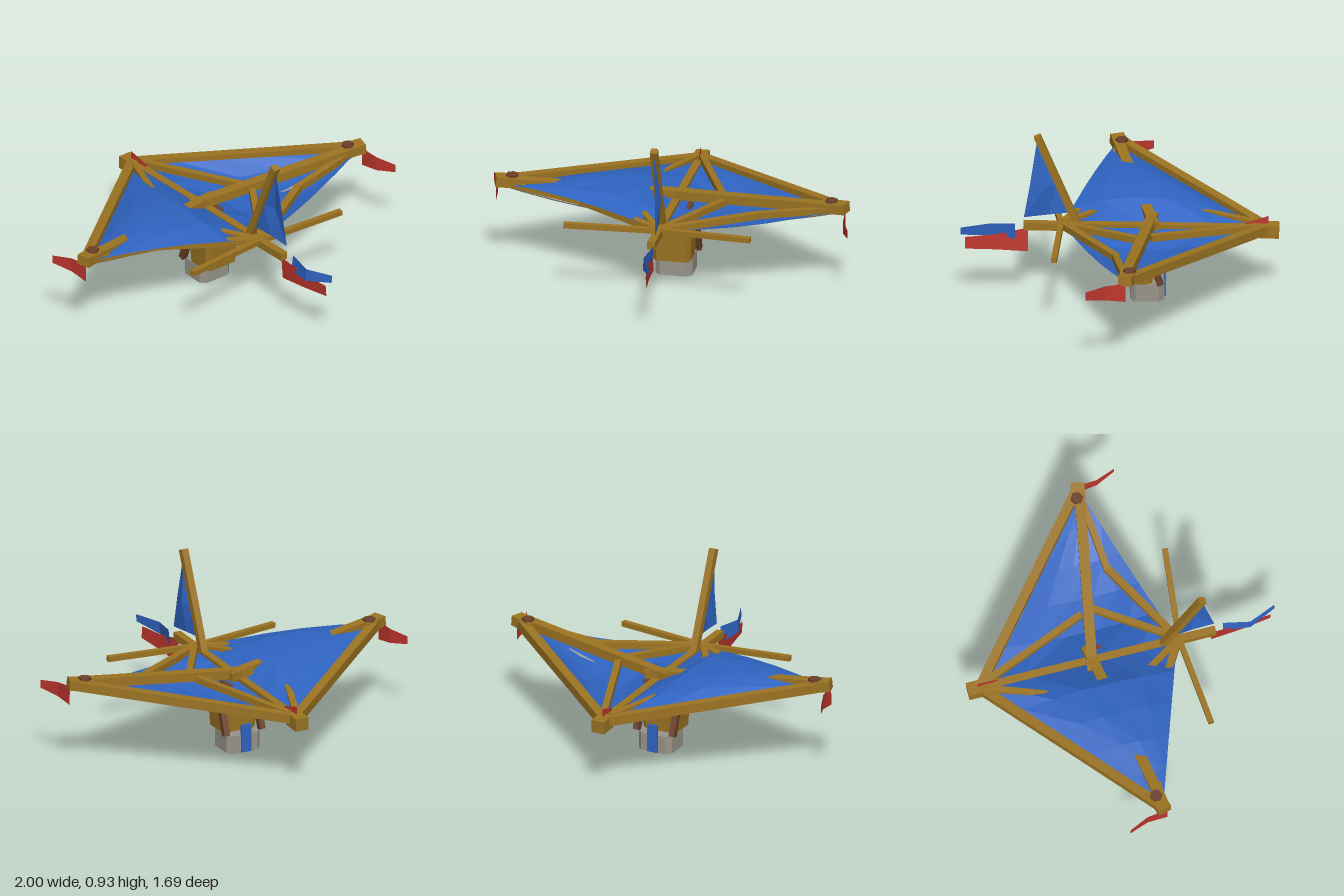
import * as THREE from 'three';

const mat = (name, color, side = THREE.FrontSide) =>
  new THREE.MeshStandardMaterial({ name, color, side, flatShading: true });
const V = (p) => new THREE.Vector3(...p);

// Flat-faced surface through rows of points
function grid(rows) {
  const pos = [];
  for (let i = 0; i < rows.length - 1; i++) {
    for (let j = 0; j < rows[i].length - 1; j++) {
      const a = rows[i][j], b = rows[i][j + 1], c = rows[i + 1][j + 1], d = rows[i + 1][j];
      pos.push(...a, ...d, ...c, ...a, ...c, ...b);
    }
  }
  const g = new THREE.BufferGeometry();
  g.setAttribute('position', new THREE.Float32BufferAttribute(pos, 3));
  g.computeVertexNormals();
  return g;
}

// Closed block from chamfered rectangles [y, halfX, halfZ], centred at depth cz
function chamferBlock(sections, cz, cut) {
  const ring = ([y, w, d]) => {
    const k = Math.min(cut, w, d);
    const pts = [[w, d - k], [w - k, d], [k - w, d], [-w, d - k], [-w, k - d], [k - w, -d], [w - k, -d], [w, k - d]];
    return [...pts, pts[0]].map(([x, z]) => [x, y, z + cz]);
  };
  const first = sections[0][0], last = sections[sections.length - 1][0];
  return grid([[first, 0, 0], ...sections, [last, 0, 0]].map(ring));
}

export function createModel() {
  const root = new THREE.Group();
  root.name = 'glider';
  const wood = mat('wood', 0x9c7422);
  const sailBlue = mat('blue cloth', 0x2f64c2, THREE.DoubleSide);
  const red = mat('red cloth', 0xbe352d, THREE.DoubleSide);
  const brown = mat('dark brown', 0x6b4129);
  const stone = mat('grey base', 0x98948a);
  const rope = mat('rope', 0xa3a19b);

  const add = (name, geometry, material) => {
    const m = new THREE.Mesh(geometry, material);
    m.name = name;
    root.add(m);
    return m;
  };
  // Square timber from p to q
  const beam = (name, p, q, w, h, material = wood) => {
    const a = V(p), b = V(q);
    const m = add(name, new THREE.BoxGeometry(w, h, a.distanceTo(b)), material);
    m.position.copy(a).add(b).multiplyScalar(0.5);
    m.lookAt(b);
    return m;
  };

  // Spine, tail block and mast
  beam('spine', [0, 0.405, 0.51], [0, 0.37, -0.8], 0.042, 0.042);
  beam('tailBlock', [0, 0.368, -0.74], [0, 0.363, -0.845], 0.075, 0.07);
  beam('mast', [0, 0.41, 0.225], [0, 0.92, 0.437], 0.038, 0.038);

  for (const s of [1, -1]) {
    // Timber frame of one wing
    beam('leadingSpar', [0, 0.375, -0.78], [s * 0.93, 0.485, -0.01], 0.05, 0.05);
    beam('crossBeam', [-s * 0.07, 0.42, -0.18], [s * 0.935, 0.49, 0], 0.055, 0.05);
    beam('wingTip', [s * 0.83, 0.478, -0.04], [s * 0.95, 0.49, -0.005], 0.075, 0.055);
    beam('rearBrace', [s * 0.02, 0.39, -0.74], [s * 0.25, 0.435, -0.16], 0.035, 0.035);
    beam('midBrace', [s * 0.01, 0.41, 0.3], [s * 0.27, 0.43, -0.1], 0.035, 0.035);
    beam('frontBrace', [s * 0.01, 0.41, 0.3], [s * 0.48, 0.425, 0.03], 0.04, 0.035);
    beam('frontBraceEnd', [s * 0.47, 0.425, 0.035], [s * 0.88, 0.475, -0.01], 0.035, 0.035);
    beam('frontCrossbar', [0, 0.41, 0.31], [s * 0.505, 0.42, 0.36], 0.03, 0.028);

    // Wing tip peg
    const peg = add('tipPeg', new THREE.CylinderGeometry(0.034, 0.036, 0.04, 6), brown);
    peg.position.set(s * 0.865, 0.502, -0.032);

    // Slanted strap on the side of the cabin
    beam('sideStrap', [s * 0.108, 0.1, -0.215], [s * 0.105, 0.33, -0.13], 0.032, 0.034, brown);

    // Sagging stay from tip to cabin
    const stay = new THREE.QuadraticBezierCurve3(
      V([s * 0.92, 0.475, 0]), V([s * 0.48, 0.335, -0.06]), V([s * 0.06, 0.3, -0.12]));
    add('wingStay', new THREE.TubeGeometry(stay, 6, 0.012, 6), rope);

    // Pennant at the tip, streaming opposite ways on the two wings
    add('tipPennant', grid([
      [[0.943, 0.475, -0.01], [0.945, 0.37, -0.01]],
      [[0.955, 0.465, 0.1], [0.955, 0.385, 0.1]],
      [[1.0, 0.45, 0.205], [1.0, 0.405, 0.205]],
    ].map((r) => r.map(([x, y, z]) => [s * x, y, s * z]))), red);

    // Wing cloth, billowing down on one side and up on the other
    const A = [0, 0.38, -0.74], B = [s * 0.9, 0.475, 0], C = [0, 0.405, 0.3];
    const puff = s > 0 ? -0.075 : 0.07, n = 5, rows = [];
    for (let i = 0; i <= n; i++) {
      const b = i / n;
      rows.push(Array.from({ length: n + 1 }, (_, j) => {
        const c = (1 - b) * j / n, a = 1 - b - c;
        const lift = puff * Math.min(1, 27 * a * b * c + 1.6 * b * c);
        return A.map((v, k) => v * a + B[k] * b + C[k] * c + (k === 1 ? lift : 0));
      }));
    }
    add('wingCloth', grid(rows), sailBlue);
  }

  // Tail stay
  const tailStay = new THREE.QuadraticBezierCurve3(
    V([0, 0.35, -0.8]), V([0, 0.3, -0.45]), V([0, 0.3, -0.13]));
  add('tailStay', new THREE.TubeGeometry(tailStay, 6, 0.012, 6), rope);

  // Mast fin
  add('mastFin', grid([
    [[0, 0.885, 0.425], [0.002, 0.885, 0.432], [0, 0.88, 0.44]],
    [[0, 0.64, 0.335], [0.032, 0.63, 0.4], [0.015, 0.65, 0.475]],
    [[0, 0.475, 0.27], [0.012, 0.47, 0.38], [0.02, 0.46, 0.508]],
  ]), sailBlue);

  // Nose streamers and tail pennant
  add('noseStreamerRed', grid([
    [[0, 0.39, 0.487], [0.01, 0.258, 0.487]],
    [[0.015, 0.36, 0.66], [0.02, 0.275, 0.66]],
    [[0.035, 0.355, 0.82], [0.04, 0.29, 0.82]],
  ]), red);
  add('noseStreamerBlue', grid([
    [[0.025, 0.425, 0.555], [0.015, 0.335, 0.555]],
    [[0, 0.415, 0.7], [-0.005, 0.345, 0.7]],
    [[0.06, 0.42, 0.845], [0.055, 0.378, 0.845]],
  ]), sailBlue);
  add('tailPennant', grid([
    [[0.01, 0.41, -0.67], [0.01, 0.38, -0.67]],
    [[0, 0.445, -0.79], [0, 0.39, -0.79]],
  ]), red);

  // Pivot, cabin, base and back plate
  const pivot = add('pivot', new THREE.CylinderGeometry(0.1, 0.1, 0.08, 8), brown);
  pivot.rotation.y = Math.PI / 8;
  pivot.position.set(0, 0.335, -0.145);
  pivot.scale.set(0.95, 1, 0.95);
  add('cabin', chamferBlock([[0.1, 0.1, 0.083], [0.275, 0.112, 0.09], [0.305, 0.09, 0.065]], -0.09, 0.022), wood);
  add('base', chamferBlock([[0, 0.1, 0.09], [0.098, 0.1, 0.09]], -0.145, 0.028), stone);
  const plate = add('backPlate', new THREE.BoxGeometry(0.06, 0.155, 0.012), sailBlue);
  plate.position.set(0, 0.078, -0.238);

  return root;
}
